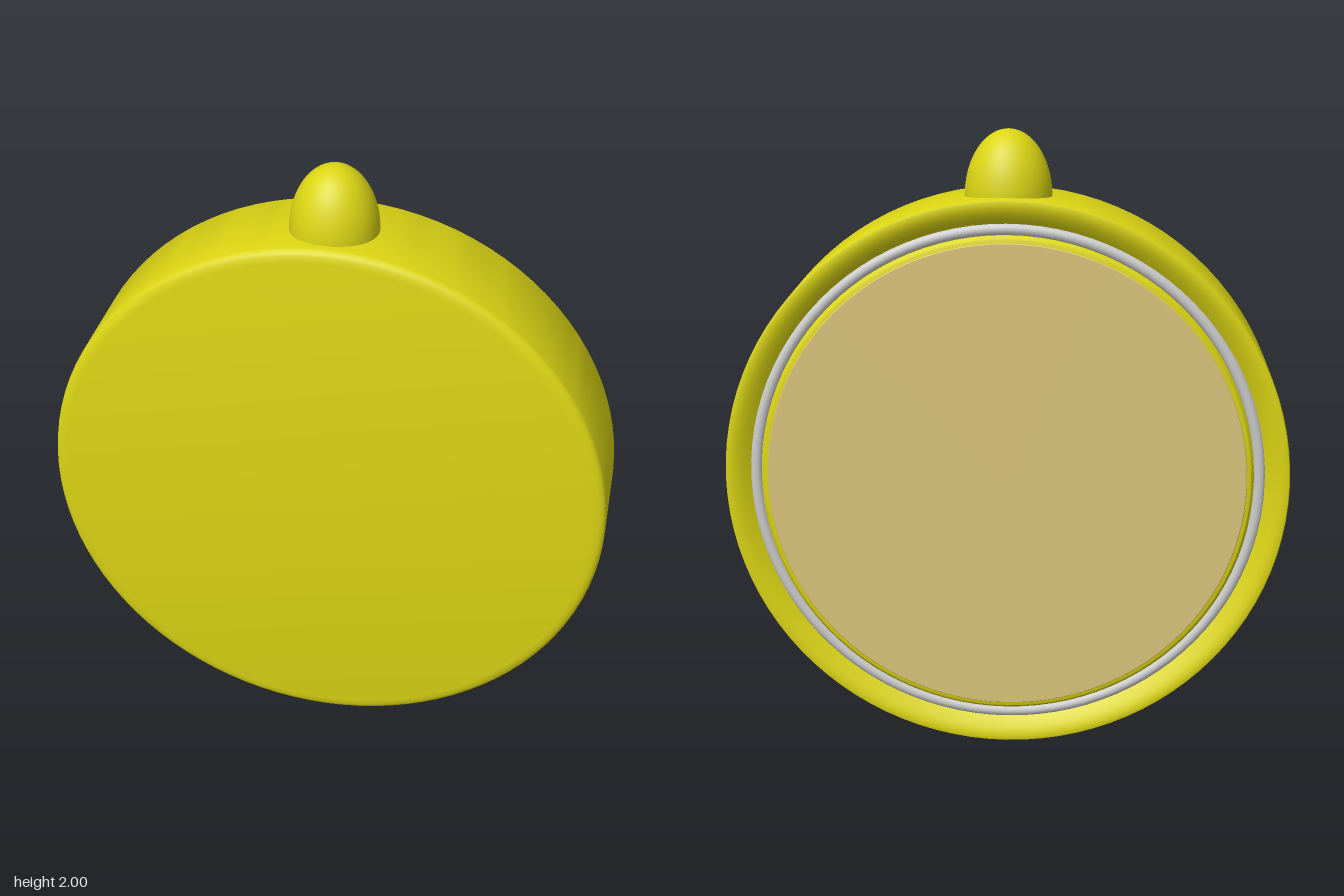
import * as THREE from 'three';
import { toCreasedNormals } from 'three/addons/utils/BufferGeometryUtils.js';

const RADIUS = 0.9, CENTRE_Y = 0.903;

export function createModel() {
  const yellow = new THREE.MeshStandardMaterial({ color: 0xdbd513 });
  const grey = new THREE.MeshStandardMaterial({ color: 0xcccccc });
  const beige = new THREE.MeshStandardMaterial({ color: 0xdcc47c });
  const group = new THREE.Group();

  // Turned part about the z axis; profile of [radius, z] runs from back to front
  function turned(name, profile, material) {
    const points = profile.map(([r, z]) => new THREE.Vector2(r, z));
    const lathe = new THREE.LatheGeometry(points, 96);
    const mesh = new THREE.Mesh(toCreasedNormals(lathe, 0.5), material);
    mesh.name = name;
    mesh.rotation.x = Math.PI / 2;
    mesh.position.y = CENTRE_Y;
    group.add(mesh);
    return mesh;
  }

  // Case: recessed back with sloping rim, straight side, rounded front edge
  turned('case', [
    [0, -0.13], [0.815, -0.13], [0.82, -0.145], [0.835, -0.157], [0.855, -0.17],
    [0.873, -0.178], [0.89, -0.18], [0.897, -0.178], [RADIUS, -0.172],
    [RADIUS, 0.155], [0.897, 0.165], [0.89, 0.172], [0.88, 0.177], [0.86, 0.18], [0, 0.18],
  ], yellow);

  // Raised back plate with a sloping edge, and the panel set on it
  turned('backPlate', [
    [0, -0.17], [0.765, -0.17], [0.778, -0.166], [0.787, -0.155], [0.79, -0.13],
  ], yellow);
  turned('backPanel', [[0, -0.173], [0.763, -0.173], [0.766, -0.169]], beige);

  // Thin ring seated in the groove
  const ring = new THREE.Mesh(new THREE.TorusGeometry(0.805, 0.02, 12, 96), grey);
  ring.name = 'sealRing';
  ring.position.set(0, CENTRE_Y, -0.138);
  group.add(ring);

  // Domed knob on top
  const dome = new THREE.SphereGeometry(1, 48, 20, 0, Math.PI * 2, 0, Math.PI * 0.56);
  dome.scale(0.138, 0.21, 0.138);
  const knob = new THREE.Mesh(dome, yellow);
  knob.name = 'topKnob';
  knob.position.y = 1.79;
  group.add(knob);

  return group;
}
